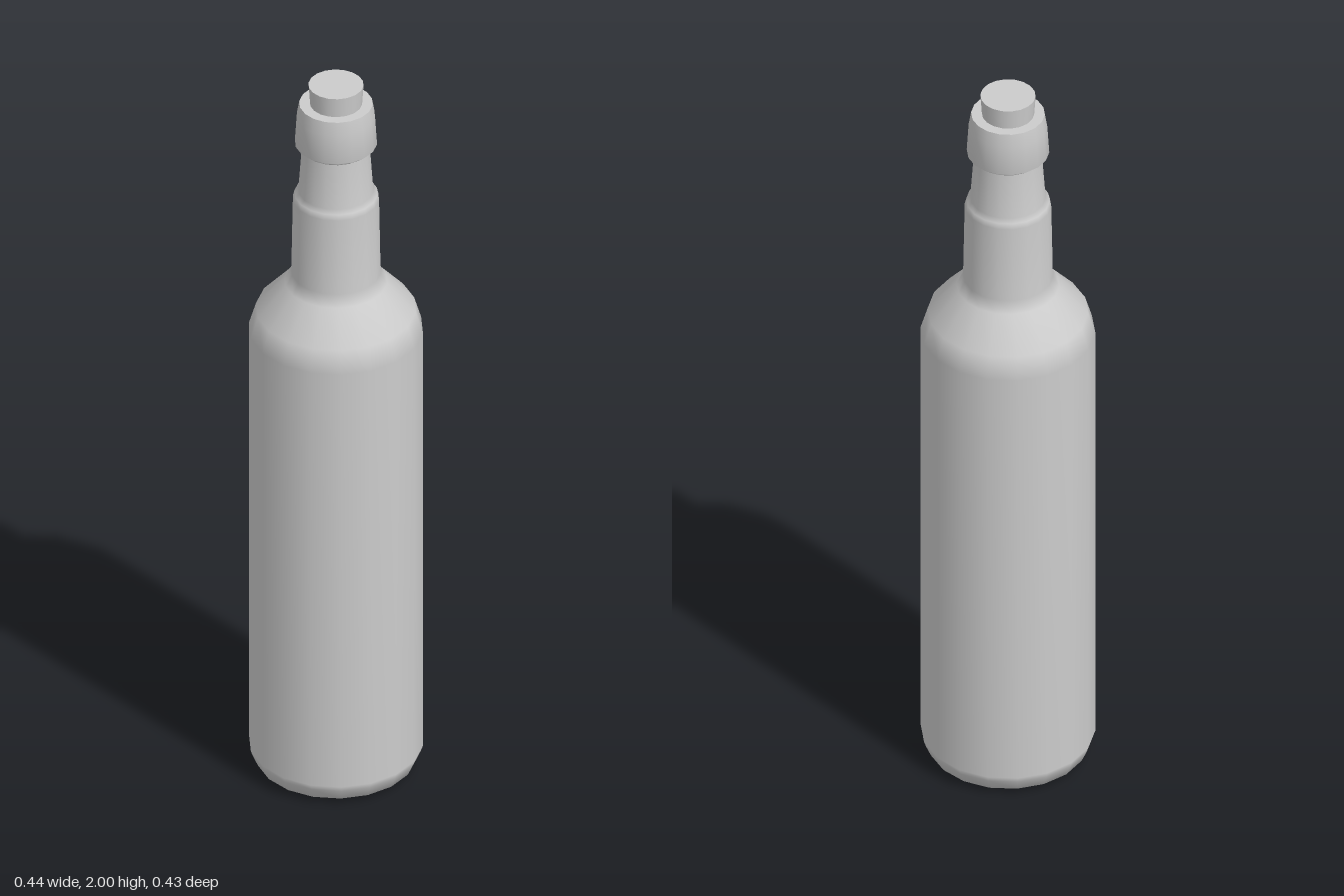
import * as THREE from 'three';

const SIDES = 18;
const material = new THREE.MeshStandardMaterial({ color: 0xcccccc });

// Revolves [radius, height] pairs, listed bottom to top, with a corner on +x
function turned(name, profile) {
  const points = profile.map(([r, y]) => new THREE.Vector2(r, y));
  const mesh = new THREE.Mesh(new THREE.LatheGeometry(points, SIDES, Math.PI / 2), material);
  mesh.name = name;
  return mesh;
}

export function createModel() {
  const bottle = new THREE.Group();
  bottle.name = 'bottle';

  // Flat underside with its own crisp rim
  bottle.add(turned('base', [[0, 0], [0.172, 0]]));

  // Rounded foot, straight body, shoulder and stepped neck
  bottle.add(turned('body', [
    [0.172, 0], [0.2, 0.015], [0.213, 0.045], [0.218, 0.06],
    [0.218, 1.28], [0.2, 1.34], [0.128, 1.42], [0.112, 1.45],
    [0.108, 1.665], [0.104, 1.68], [0.094, 1.69], [0.085, 1.82],
  ]));

  // Flared collar around the mouth
  bottle.add(turned('collar', [
    [0.085, 1.815], [0.103, 1.83], [0.098, 1.91], [0.092, 1.945],
  ]));
  bottle.add(turned('lip', [[0.092, 1.945], [0.064, 1.945]]));

  // Slightly tapered stopper
  bottle.add(turned('stopper', [[0.065, 1.94], [0.069, 2]]));
  bottle.add(turned('stopperTop', [[0.069, 2], [0, 2]]));

  return bottle;
}
